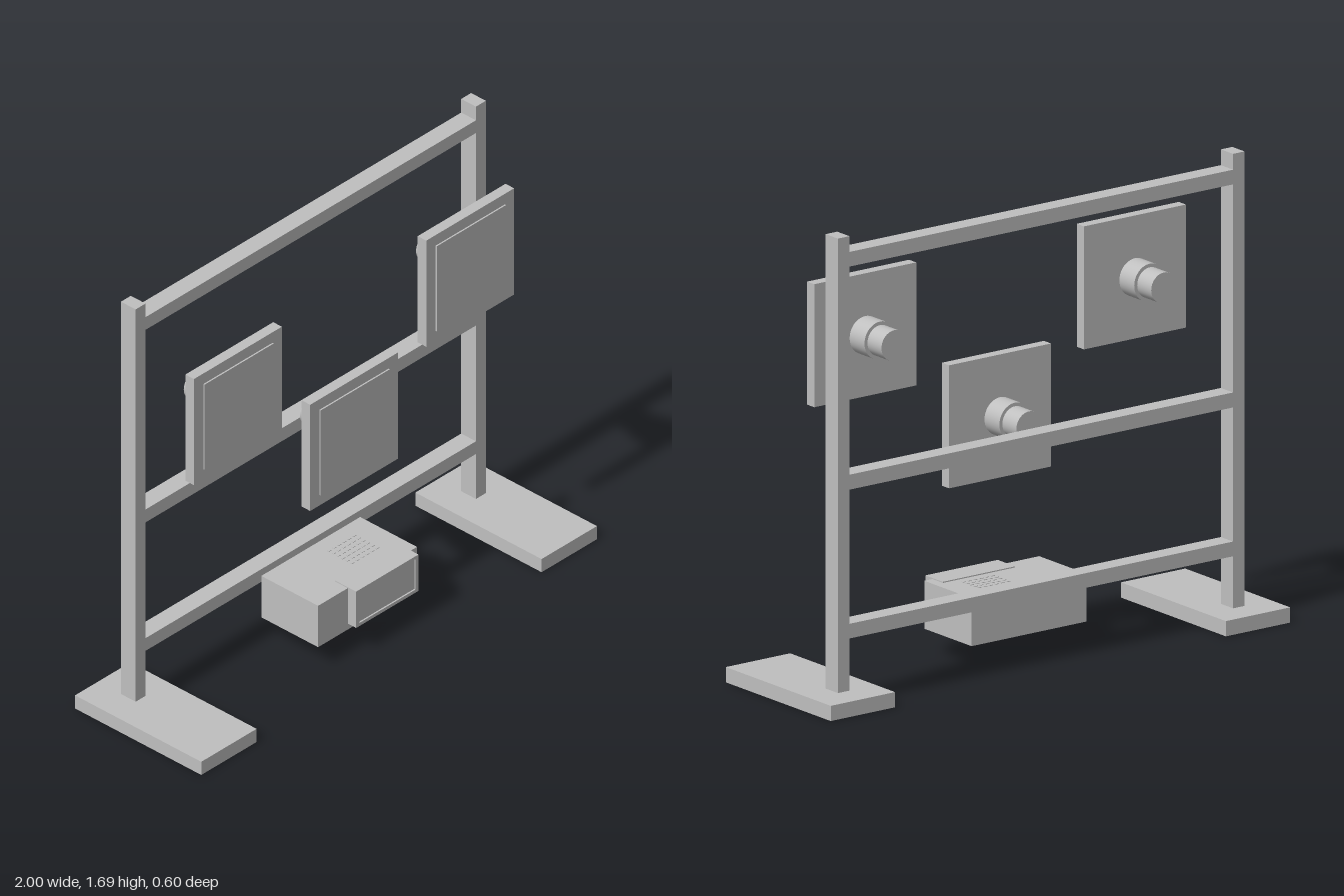
import * as THREE from 'three';

const grey = new THREE.MeshStandardMaterial({ color: 0xbfbfbf });
grey.name = 'plain grey';

export function createModel() {
  const model = new THREE.Group();
  model.name = 'panelStand';

  function add(parent, name, geometry, x = 0, y = 0, z = 0) {
    const mesh = new THREE.Mesh(geometry, grey);
    mesh.name = name;
    mesh.position.set(x, y, z);
    parent.add(mesh);
    return mesh;
  }

  // Box given by its minimum and maximum on each axis
  function box(parent, name, [x0, x1], [y0, y1], [z0, z1]) {
    return add(parent, name, new THREE.BoxGeometry(x1 - x0, y1 - y0, z1 - z0),
      (x0 + x1) / 2, (y0 + y1) / 2, (z0 + z1) / 2);
  }

  // Cylinder along z
  function rod(parent, name, radius, z0, z1) {
    const geometry = new THREE.CylinderGeometry(radius, radius, z1 - z0, 40).rotateX(Math.PI / 2);
    return add(parent, name, geometry, 0, 0, (z0 + z1) / 2);
  }

  // Feet and uprights
  for (const [side, s] of [['left', 1], ['right', -1]]) {
    const foot = new THREE.BoxGeometry(0.28, 0.055, 0.6);
    add(model, side + 'Foot', foot, s * 0.86, 0.0275, 0);
    const post = new THREE.BoxGeometry(0.05, 1.64, 0.07);
    add(model, side + 'Post', post, s * 0.86, 0.875, -0.155);
  }

  // Cross rails
  for (const [name, y0, y1] of [['lowerRail', 0.243, 0.296], ['middleRail', 0.78, 0.834], ['upperRail', 1.585, 1.638]]) {
    box(model, name, [-0.835, 0.835], [y0, y1], [-0.19, -0.12]);
  }

  // Square panels with a raised face and a stepped mount behind
  for (const [name, x, y] of [['rightPanel', -0.587, 1.24], ['centrePanel', 0, 0.843], ['leftPanel', 0.587, 1.24]]) {
    const panel = new THREE.Group();
    panel.name = name;
    panel.position.set(x, y, 0);
    model.add(panel);
    box(panel, 'panelBody', [-0.222, 0.222], [-0.222, 0.222], [0.045, 0.086]);
    box(panel, 'panelFace', [-0.175, 0.175], [-0.178, 0.178], [0.086, 0.092]);
    rod(panel, 'mountCollar', 0.068, -0.04, 0.045);
    rod(panel, 'mountStem', 0.055, -0.12, -0.04);
  }

  // Control unit hung under the lower rail
  const unit = new THREE.Group();
  unit.name = 'controlUnit';
  model.add(unit);
  box(unit, 'unitBody', [-0.25, 0.25], [0.095, 0.268], [-0.12, 0.15]);
  box(unit, 'frontLip', [-0.1, 0.215], [0.268, 0.272], [0.09, 0.15]);
  box(unit, 'frontBlock', [-0.1, 0.215], [0.12, 0.272], [0.15, 0.184]);

  // Thin frame around the recessed window
  const frame = new THREE.Shape();
  frame.moveTo(-0.1, 0.12).lineTo(0.215, 0.12).lineTo(0.215, 0.272).lineTo(-0.1, 0.272).closePath();
  const opening = new THREE.Path();
  opening.moveTo(-0.083, 0.133).lineTo(-0.083, 0.26).lineTo(0.2, 0.26).lineTo(0.2, 0.133).closePath();
  frame.holes.push(opening);
  add(unit, 'windowFrame', new THREE.ExtrudeGeometry(frame, { depth: 0.006, bevelEnabled: false }), 0, 0, 0.184);

  // Vent grid on top
  for (let row = 0; row < 6; row++) {
    for (let col = 0; col < 6; col++) {
      const slot = new THREE.BoxGeometry(0.014, 0.002, 0.008);
      add(unit, 'ventSlot', slot, 0.025 + col * 0.025, 0.269, -0.055 + row * 0.022);
    }
  }

  return model;
}
